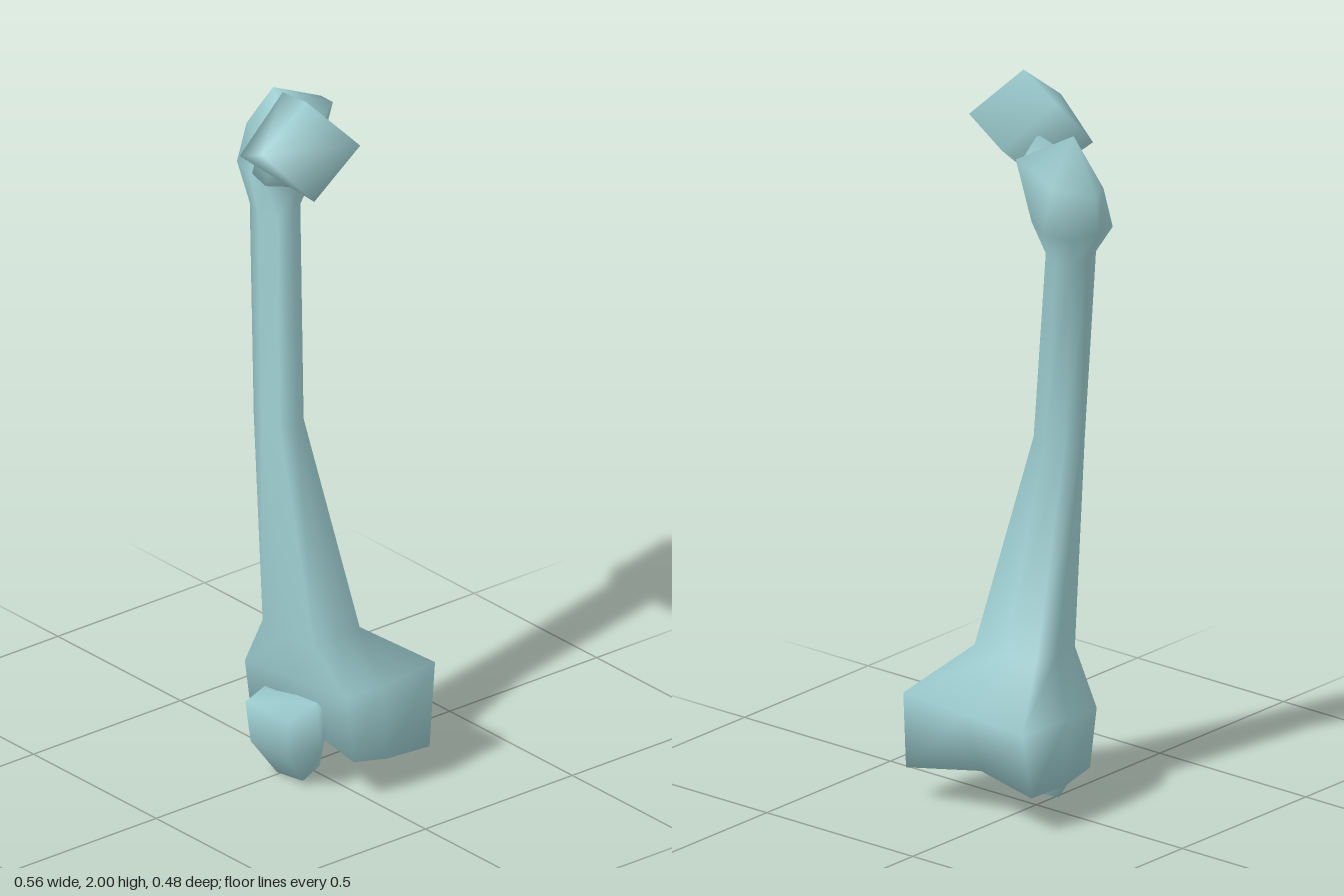
import * as THREE from 'three';
import { ConvexGeometry } from 'three/addons/geometries/ConvexGeometry.js';
import { mergeVertices } from 'three/addons/utils/BufferGeometryUtils.js';

const SIDES = 8;
const material = new THREE.MeshStandardMaterial({ color: 0x9dcdd0 });

// Horizontal eight-sided cross-section, running from +x towards +z;
// corner pushes the diagonal points out (1 = round, 1.41 = square)
function oval(y, x0, x1, z0, z1, corner) {
  return Array.from({ length: SIDES }, (_, k) => {
    const a = (k / SIDES) * Math.PI * 2;
    const s = k % 2 ? corner : 1;
    return [
      (x0 + x1) / 2 + ((x1 - x0) / 2) * s * Math.cos(a),
      y,
      (z0 + z1) / 2 + ((z1 - z0) / 2) * s * Math.sin(a),
    ];
  });
}

// Skin through rings from bottom to top, closed by one point at each end
function loft(rings, bottom, top) {
  const points = [...rings.flat(), bottom, top];
  const index = [];
  const last = (rings.length - 1) * SIDES;
  const low = rings.length * SIDES;
  for (let k = 0; k < SIDES; k++) {
    const n = (k + 1) % SIDES;
    for (let r = 0; r < last; r += SIDES) {
      const a = r + k, b = r + n;
      index.push(a, a + SIDES, b, b, a + SIDES, b + SIDES);
    }
    index.push(low, k, n, low + 1, last + n, last + k);
  }
  const geometry = new THREE.BufferGeometry();
  geometry.setAttribute('position', new THREE.Float32BufferAttribute(points.flat(), 3));
  geometry.setIndex(index);
  geometry.computeVertexNormals();
  return geometry;
}

// Faceted convex lump with smooth shading
function lump(corners) {
  const geometry = new ConvexGeometry(corners.map((p) => new THREE.Vector3(...p)));
  geometry.deleteAttribute('normal');
  const smooth = mergeVertices(geometry);
  smooth.computeVertexNormals();
  return smooth;
}

export function createModel() {
  const group = new THREE.Group();
  const add = (name, geometry) => {
    const mesh = new THREE.Mesh(geometry, material);
    mesh.name = name;
    group.add(mesh);
  };

  // Lower edge of the two knuckles, with shallow grooves at front and back
  const knuckleBottom = [
    [0.27, 0.1, -0.06], [0.255, 0.115, 0.04], [0.05, 0.16, 0.05], [-0.125, 0.115, 0.07],
    [-0.145, 0.105, -0.05], [-0.14, 0.105, -0.185], [0.05, 0.13, -0.165], [0.277, 0.095, -0.2],
  ];
  // Widest section of the knuckles
  const knuckleTop = [
    [0.265, 0.31, -0.05], [0.235, 0.3, 0.05], [0.05, 0.3, 0.085], [-0.135, 0.28, 0.085],
    [-0.15, 0.29, -0.05], [-0.155, 0.3, -0.24], [0.05, 0.31, -0.237], [0.255, 0.32, -0.237],
  ];
  // Top of the shaft, flattened on its inner back side
  const shaftTop = [
    [-0.035, 1.58, 0], [-0.055, 1.58, 0.04], [-0.12, 1.57, 0.052], [-0.175, 1.58, 0.035],
    [-0.2, 1.58, -0.03], [-0.182, 1.58, -0.07], [-0.145, 1.58, -0.092], [-0.085, 1.58, -0.062],
  ];
  // Flare below the upper knob
  const knobBase = [
    [-0.025, 1.67, 0], [-0.05, 1.69, 0.085], [-0.15, 1.67, 0.055], [-0.245, 1.67, 0.02],
    [-0.255, 1.67, -0.05], [-0.21, 1.66, -0.11], [-0.13, 1.66, -0.125], [-0.06, 1.67, -0.09],
  ];
  // Widest section of the upper knob
  const knobTop = [
    [-0.03, 1.82, -0.08], [-0.04, 1.8, 0.02], [-0.14, 1.79, 0.035], [-0.23, 1.78, 0],
    [-0.28, 1.79, -0.09], [-0.2, 1.82, -0.177], [-0.12, 1.85, -0.162], [-0.055, 1.86, -0.148],
  ];

  // Shaft with knuckles and knob in one skin
  add('boneShaft', loft([
    knuckleBottom,
    knuckleTop,
    oval(0.43, -0.06, 0.16, -0.07, 0.095, 1.35),
    oval(1.02, -0.105, 0.045, 0, 0.115, 1),
    shaftTop,
    knobBase,
    knobTop,
  ], [0.05, 0.15, -0.03], [-0.145, 1.91, -0.02]));

  // Neck widening from the ball down into the knob
  add('neck', lump([
    [-0.05, 1.69, 0.085], [-0.025, 1.67, 0], [-0.15, 1.68, 0.05], [-0.06, 1.68, -0.08],
    [-0.035, 1.84, -0.095], [-0.12, 1.865, -0.03], [-0.13, 1.8, 0.03],
    [0.03, 1.81, -0.015], [-0.015, 1.8, 0.09], [0.02, 1.86, 0.03], [0.035, 1.74, 0.045],
  ]));

  // Blocky ball of the joint
  add('ballHead', lump([
    [0.12, 2, 0.09], [-0.035, 1.955, 0.04], [0.222, 1.88, -0.01], [0.065, 1.83, -0.062],
    [0.116, 1.89, 0.237], [-0.042, 1.81, 0.18], [0.214, 1.76, 0.14], [0.05, 1.715, 0.065],
  ]));

  // Kneecap in front of the knuckles
  add('kneecap', lump([
    [-0.06, 0.235, 0.07], [0.14, 0.255, 0.07], [-0.055, 0.21, 0.15], [0.12, 0.215, 0.15],
    [-0.08, 0.12, 0.08], [0.16, 0.12, 0.07], [-0.04, 0.1, 0.145], [0.1, 0.1, 0.14],
    [-0.01, 0, 0.08], [0.09, 0.01, 0.075], [0, 0.03, 0.01], [0.08, 0.03, 0.01],
    [-0.05, 0.2, 0.02], [0.13, 0.2, 0.02],
  ]));

  return group;
}
